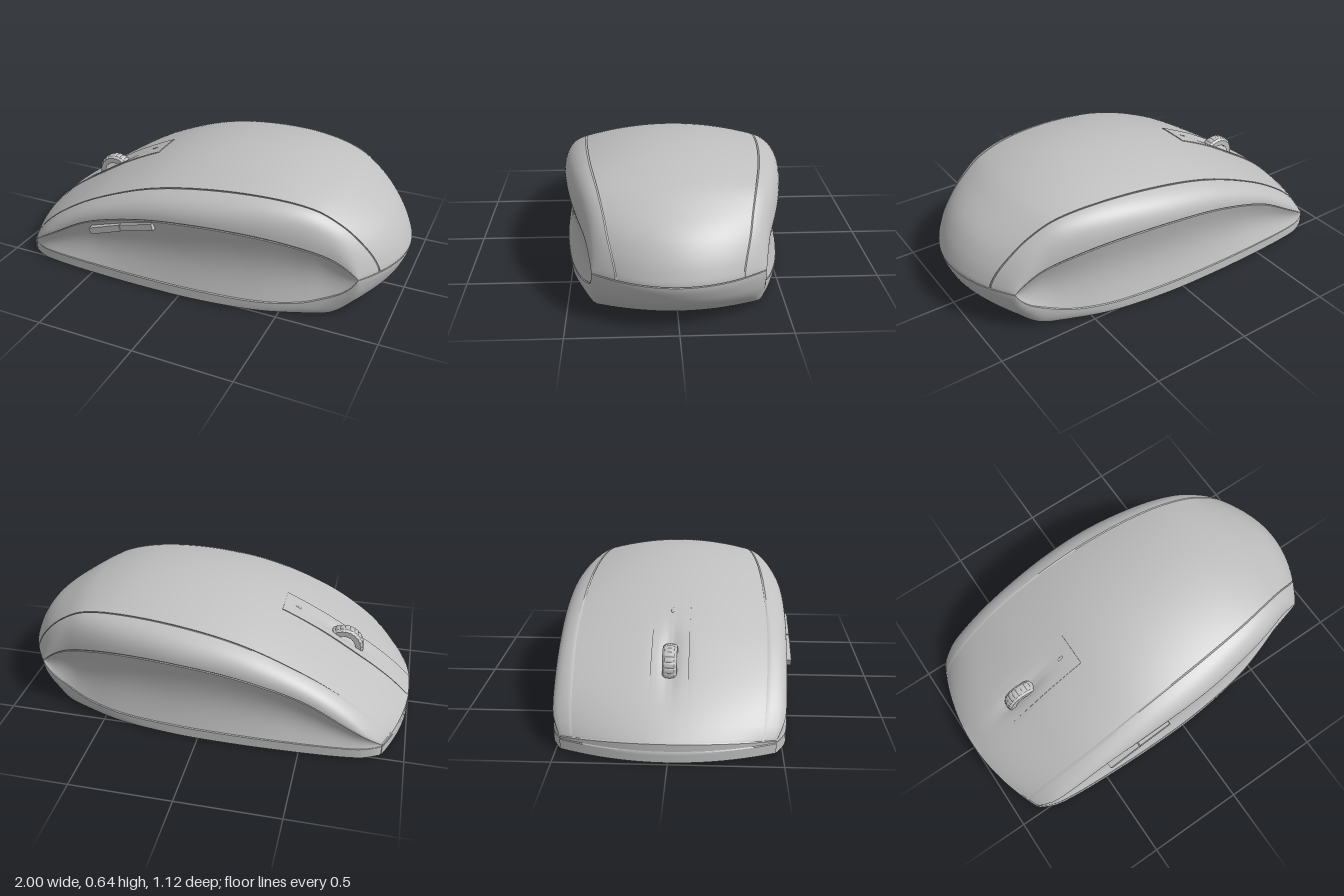
import * as THREE from 'three';
import { toCreasedNormals } from 'three/addons/utils/BufferGeometryUtils.js';

const shellGrey = new THREE.MeshStandardMaterial({ color: 0xc0c0c0 });
shellGrey.name = 'shellGrey';

// Stations along the body: u, crest y, upper seam y z, grip seam y z,
// lower seam y z, bottom y z
const STATIONS = [
  [-1, .1, .075, .42, .068, .475, .06, .475, .006, .475],
  [-.9, .19, .165, .43, .125, .515, .06, .515, .006, .515],
  [-.75, .295, .265, .44, .19, .53, .06, .533, .006, .533],
  [-.5, .445, .395, .45, .305, .54, .06, .546, .006, .546],
  [-.2, .575, .51, .445, .39, .55, .06, .552, .006, .552],
  [.1, .635, .565, .43, .425, .545, .06, .542, .006, .542],
  [.4, .635, .575, .40, .415, .505, .06, .505, .006, .5],
  [.65, .575, .54, .36, .375, .455, .078, .45, .006, .43],
  [.8, .495, .47, .33, .335, .418, .115, .412, .012, .38],
  [.9, .42, .395, .31, .295, .4, .152, .396, .07, .35],
  [.96, .34, .325, .29, .262, .39, .19, .389, .13, .35],
  [.99, .275, .27, .278, .245, .386, .22, .386, .19, .37],
  [1, .235, .235, .275, .235, .385, .235, .385, .235, .385],
];
const toS = u => Math.asin(Math.min(1, (u + 1) / 2)) * 2 / Math.PI;
const toU = s => -1 + 2 * Math.sin(s * Math.PI / 2);
const KNOTS = STATIONS.map(r => toS(r[0]));

// Smooth lookup of one column at length parameter s
function look(s, c) {
  const n = KNOTS.length;
  let i = 0;
  while (i < n - 2 && s > KNOTS[i + 1]) i++;
  const slope = j => {
    const a = Math.max(0, j - 1), b = Math.min(n - 1, j + 1);
    return (STATIONS[b][c] - STATIONS[a][c]) / (KNOTS[b] - KNOTS[a]);
  };
  const h = KNOTS[i + 1] - KNOTS[i], t = (s - KNOTS[i]) / h, t2 = t * t, t3 = t2 * t;
  return (2 * t3 - 3 * t2 + 1) * STATIONS[i][c] + (t3 - 2 * t2 + t) * h * slope(i)
    + (3 * t2 - 2 * t3) * STATIONS[i + 1][c] + (t3 - t2) * h * slope(i + 1);
}

// Bow the sections in plan so the nose and tail are rounded
function place(u, y, z) {
  const k = u < -.4 ? .48 * ((u + .4) / .6) ** 2 : u > .3 ? -(((u - .3) / .7) ** 2) : 0;
  return new THREE.Vector3(u + k * z * z, y, z);
}
const quad = (a, b, c, t) => (1 - t) * (1 - t) * a + 2 * t * (1 - t) * b + t * t * c;

// Body section: v 0-1 top, 1-2 side band, 2-3 grip, 3-4 skirt, 4-5 underside
function body(s, v) {
  const u = toU(s);
  const [yT, y1, z1, y2, z2, y3, z3, yB, zB] = [1, 2, 3, 4, 5, 6, 7, 8, 9].map(c => look(s, c));
  if (v <= 1) return place(u, yT - (yT - y1) * v * v, z1 * v);
  if (v <= 2) {
    const cy = Math.max(y1 - 2 * (yT - y1) / z1 * (z2 - z1), y2 + .2 * (y1 - y2));
    return place(u, quad(y1, cy, y2, v - 1), quad(z1, z2, z2, v - 1));
  }
  if (v <= 3) {
    const t = v - 2, depth = .03 * Math.min(1, (y2 - y3) / .25);
    return place(u, y2 + (y3 - y2) * t, z2 + (z3 - z2) * t - depth * Math.sin(Math.PI * t));
  }
  const yb = Math.max(.006, yB);
  if (v <= 4) return place(u, quad(y3, yb + .3 * (y3 - yb), yb, v - 3), quad(z3, z3, zB, v - 3));
  return place(u, yb, zB * (5 - v));
}
const mirror = p => { p.z = -p.z; return p; };

// Surface panel whose borders fold inward, so neighbours meet in a fine groove
function panel(name, na, nb, ea, eb, fn, depth = .008) {
  const steps = (n, e) => [0, ...Array.from({ length: n + 1 }, (_, i) => e + (1 - 2 * e) * i / n), 1];
  const A = steps(na, ea), B = steps(nb, eb), pos = [], index = [], w = B.length;
  A.forEach((a, i) => B.forEach((b, j) => {
    const p = fn(a, b);
    if (i === 0 || j === 0 || i === A.length - 1 || j === w - 1) {
      const inward = new THREE.Vector3(p.x * .85, .2, 0).sub(p).normalize();
      p.addScaledVector(inward, depth);
    }
    pos.push(p.x, p.y, p.z);
    if (i && j) {
      const d = i * w + j, c = d - 1, f = d - w, e = f - 1;
      index.push(e, f, c, f, d, c);
    }
  }));
  const g = new THREE.BufferGeometry();
  g.setAttribute('position', new THREE.Float32BufferAttribute(pos, 3));
  g.setIndex(index);
  return part(name, toCreasedNormals(g, .55));
}
function part(name, geometry, x = 0, y = 0, z = 0) {
  const m = new THREE.Mesh(geometry, shellGrey);
  m.name = name;
  m.position.set(x, y, z);
  return m;
}
// Flat plate with rounded corners, lying in the xz plane
function plate(name, w, d, r, x, z, rim = 0) {
  const outline = (S, a, b, q) => {
    const s = new S();
    [[a - q, b - q, 0], [q - a, b - q, 1], [q - a, q - b, 2], [a - q, q - b, 3]]
      .forEach(([cx, cy, k]) => s.absarc(cx, cy, q, k * Math.PI / 2, (k + 1) * Math.PI / 2, false));
    return s;
  };
  const s = outline(THREE.Shape, w / 2, d / 2, r);
  if (rim) s.holes.push(outline(THREE.Path, w / 2 - rim, d / 2 - rim, Math.max(.004, r - rim)));
  const g = new THREE.ExtrudeGeometry(s, { depth: .006, bevelEnabled: false, curveSegments: 10 });
  g.rotateX(-Math.PI / 2);
  return part(name, g, x, .001, z);
}

export function createModel() {
  const model = new THREE.Group();
  model.name = 'computerMouse';
  const bowl = (p, amount, across) =>
    amount * Math.exp(-((p.x + .65) ** 2) / .02 - (p.z * p.z) / across);

  // Top shell, hollowed a little beneath the wheel strip
  model.add(panel('topShell', 70, 44, .004, .004, (a, b) => {
    const v = 2 * b - 1, p = body(a, Math.abs(v));
    if (v < 0) mirror(p);
    p.y -= bowl(p, .045, .0025);
    return p;
  }));

  // Side bands and concave grips
  for (const [side, left] of [['front', true], ['back', false]]) {
    const span = v0 => (a, b) => left ? body(a, v0 + b) : mirror(body(a, v0 + 1 - b));
    model.add(panel(side + 'SideBand', 70, 12, .004, .02, span(1)));
    model.add(panel(side + 'Grip', 70, 16, .004, .014, span(2)));
  }

  // Lower shell: skirt, underside, skirt
  model.add(panel('lowerShell', 70, 48, .004, .006, (a, b) => {
    const v = 3 + 4 * Math.min(b, 1 - b);
    return b <= .5 ? body(a, v) : mirror(body(a, v));
  }));

  // Nose faces above and below the base seam
  const nose = (lo, hi) => (a, b) => {
    const v = 4 * b - 2, p = body(0, Math.abs(v));
    if (v < 0) mirror(p);
    p.y = lo + ((hi ?? p.y) - lo) * a;
    return p;
  };
  model.add(panel('upperNose', 4, 40, .08, .004, nose(.06)));
  model.add(panel('lowerNose', 4, 40, .08, .004, nose(.006, .06)));

  // Centre strip with a shallow bowl around the wheel
  model.add(panel('wheelStrip', 50, 20, .004, .02, (a, b) => {
    const s = toS(-1 + .67 * a), z = (b - .5) * .18;
    const p = body(s, Math.abs(z) / look(s, 3));
    p.z = z;
    p.y += .004 - bowl(p, .022, .0016);
    return p;
  }, .012));

  // Ribbed scroll wheel
  const rim = [[.06, -.033], [.088, -.033], [.098, -.022], [.101, 0], [.098, .022], [.088, .033], [.06, .033]];
  const wheelGeo = new THREE.LatheGeometry(rim.map(([r, y]) => new THREE.Vector2(r, y)), 96);
  const wp = wheelGeo.attributes.position;
  for (let i = 0; i < wp.count; i++) {
    const q = 1 - .03 * (Math.cos(Math.atan2(wp.getX(i), wp.getZ(i)) * 24) > .3 ? 1 : 0);
    wp.setXYZ(i, wp.getX(i) * q, wp.getY(i), wp.getZ(i) * q);
  }
  wheelGeo.rotateX(Math.PI / 2);
  model.add(part('scrollWheel', toCreasedNormals(wheelGeo, .5), -.645, .312, 0));

  // Indicator slot on the strip
  const light = part('indicatorLight', new THREE.CapsuleGeometry(.008, .02, 4, 10), -.4, .492, 0);
  light.rotation.z = Math.PI / 2 + .4;
  model.add(light);

  // Two thumb buttons along the grip seam
  [[-.39, .297, .33], [-.21, .352, .25]].forEach(([x, y, tilt], i) => {
    const button = part(i ? 'rearThumbButton' : 'frontThumbButton',
      new THREE.BoxGeometry(.184, .034, .045), x, y, .541);
    button.rotation.z = tilt;
    model.add(button);
  });

  // Underside: battery door, latch, feet, power switch, sensor, pairing button
  model.add(plate('batteryDoor', .56, .52, .1, .28, 0, .008));
  model.add(plate('doorLatch', .03, .2, .01, -.03, .05, .007));
  model.add(plate('powerSwitchRecess', .16, .07, .03, -.27, .2, .01));
  model.add(plate('powerSwitch', .05, .04, .01, -.3, .2));
  model.add(plate('sensorWindow', .12, .08, .03, -.42, -.18, .012));
  model.add(plate('sensorLens', .03, .03, .0149, -.42, -.18));
  model.add(plate('pairingRing', .09, .09, .0449, -.14, -.22, .014));
  model.add(plate('pairingButton', .035, .035, .0174, -.14, -.22));
  model.add(plate('frontFoot', .1, .62, .04, -.78, 0, .008));
  for (const side of [-1, 1]) {
    model.add(plate('rearFoot', .05, .05, .0249, .6, side * .31));
    model.add(plate('sideFoot', .2, .03, .0149, .4, side * .38, .006));
  }

  model.children.forEach(m => { m.position.z -= .005; });
  return model;
}
